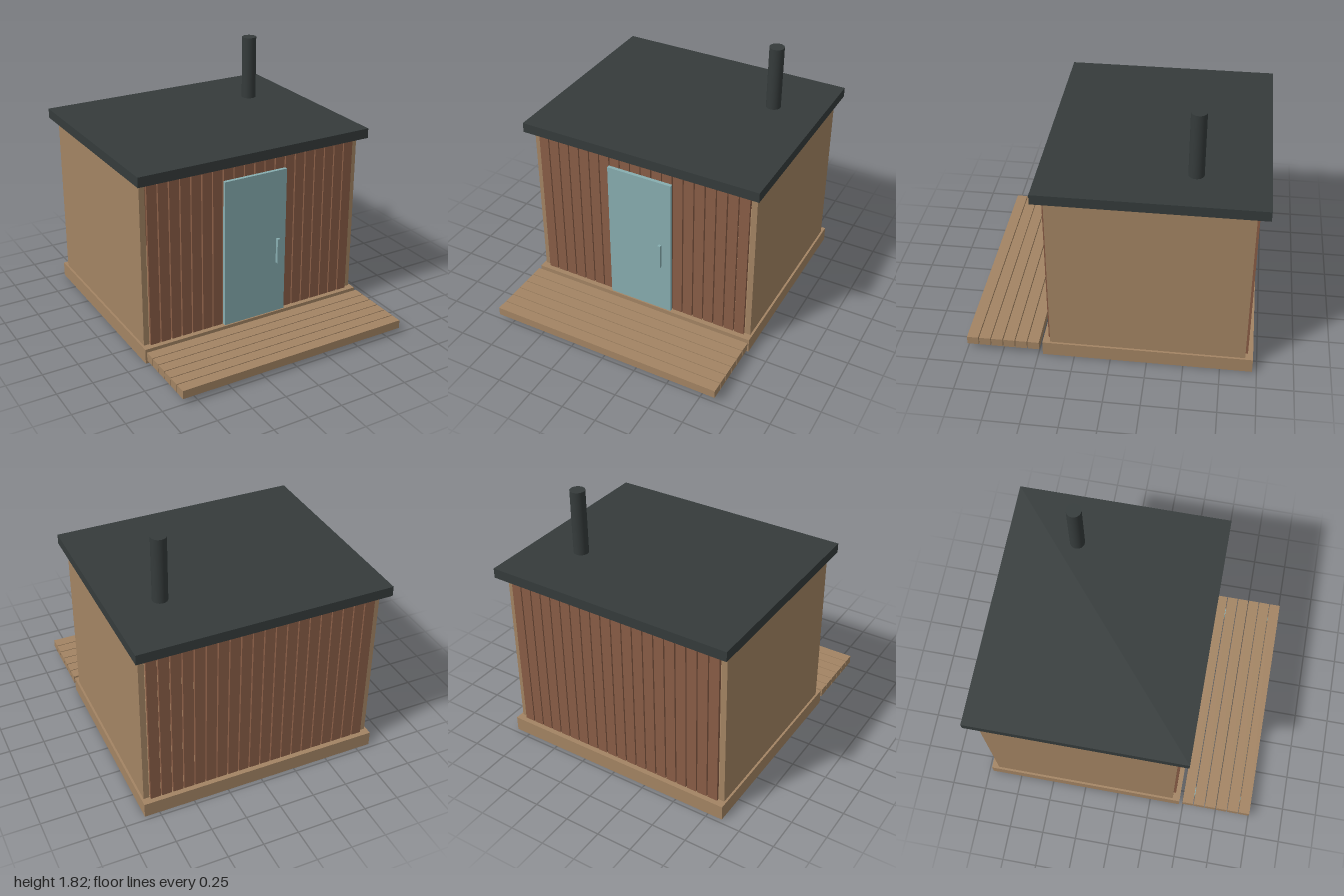
import * as THREE from 'three';

export function createModel() {
  const model = new THREE.Group();
  model.name = 'gardenCabin';

  const material = (name, color) => {
    const m = new THREE.MeshStandardMaterial({ color });
    m.name = name;
    return m;
  };
  const timber = material('paleTimber', 0xa38463);
  const cladding = material('redBrownCladding', 0x895d46);
  const roofing = material('charcoalRoofing', 0x353b3b);
  const glass = material('blueGlass', 0x87adb0);

  const group = (name) => {
    const g = new THREE.Group();
    g.name = name;
    model.add(g);
    return g;
  };
  // Box given by its limits on each axis
  const box = (parent, name, mat, [x0, x1], [y0, y1], [z0, z1]) => {
    const mesh = new THREE.Mesh(new THREE.BoxGeometry(x1 - x0, y1 - y0, z1 - z0), mat);
    mesh.position.set((x0 + x1) / 2, (y0 + y1) / 2, (z0 + z1) / 2);
    mesh.name = name;
    parent.add(mesh);
  };
  // Upright cylinder standing at (x, z)
  const post = (parent, name, mat, radius, x, z, y0, y1, sides) => {
    const mesh = new THREE.Mesh(new THREE.CylinderGeometry(radius, radius, y1 - y0, sides), mat);
    mesh.position.set(x, (y0 + y1) / 2, z);
    mesh.name = name;
    parent.add(mesh);
  };

  const floorTop = 0.107, wallTop = 1.29;

  // Base and roof slab
  box(model, 'base', timber, [-0.855, 0.855], [0, floorTop], [-0.97, 0.47]);
  box(model, 'roof', roofing, [-0.88, 0.88], [wallTop, 1.36], [-1, 0.495]);
  post(model, 'chimney', roofing, 0.052, 0.53, -0.52, 1.36, 1.82, 32);

  // Solid side walls
  box(model, 'leftWall', timber, [0.8, 0.84], [floorTop, wallTop], [-0.917, 0.417]);
  box(model, 'rightWall', timber, [-0.84, -0.8], [floorTop, wallTop], [-0.917, 0.417]);

  // Open slatted front and back
  const frontSlats = group('frontSlats'), backSlats = group('backSlats');
  for (let i = 0; i < 20; i++) {
    const x = (i - 9.5) * 0.08;
    const span = [x - 0.0355, x + 0.0355];
    box(frontSlats, 'slat', cladding, span, [floorTop, wallTop], [0.415, 0.435]);
    box(backSlats, 'slat', cladding, span, [floorTop, wallTop], [-0.935, -0.915]);
  }

  // Door with a handle bar standing just off it
  const door = group('door');
  box(door, 'doorPanel', glass, [-0.24, 0.24], [floorTop, 1.18], [0.435, 0.46]);
  box(door, 'doorHandle', glass, [0.157, 0.178], [0.5, 0.683], [0.472, 0.495]);

  // Deck planks on round feet
  const deck = group('deck');
  for (let i = 0; i < 6; i++) {
    const z = 0.495 + i * 0.0852;
    box(deck, 'deckPlank', timber, [-0.855, 0.855], [0.04, 0.1], [z, z + 0.079]);
  }
  for (const x of [-0.745, 0.745]) {
    for (const z of [0.575, 0.895]) post(deck, 'deckFoot', glass, 0.029, x, z, 0, 0.05, 20);
  }

  return model;
}
